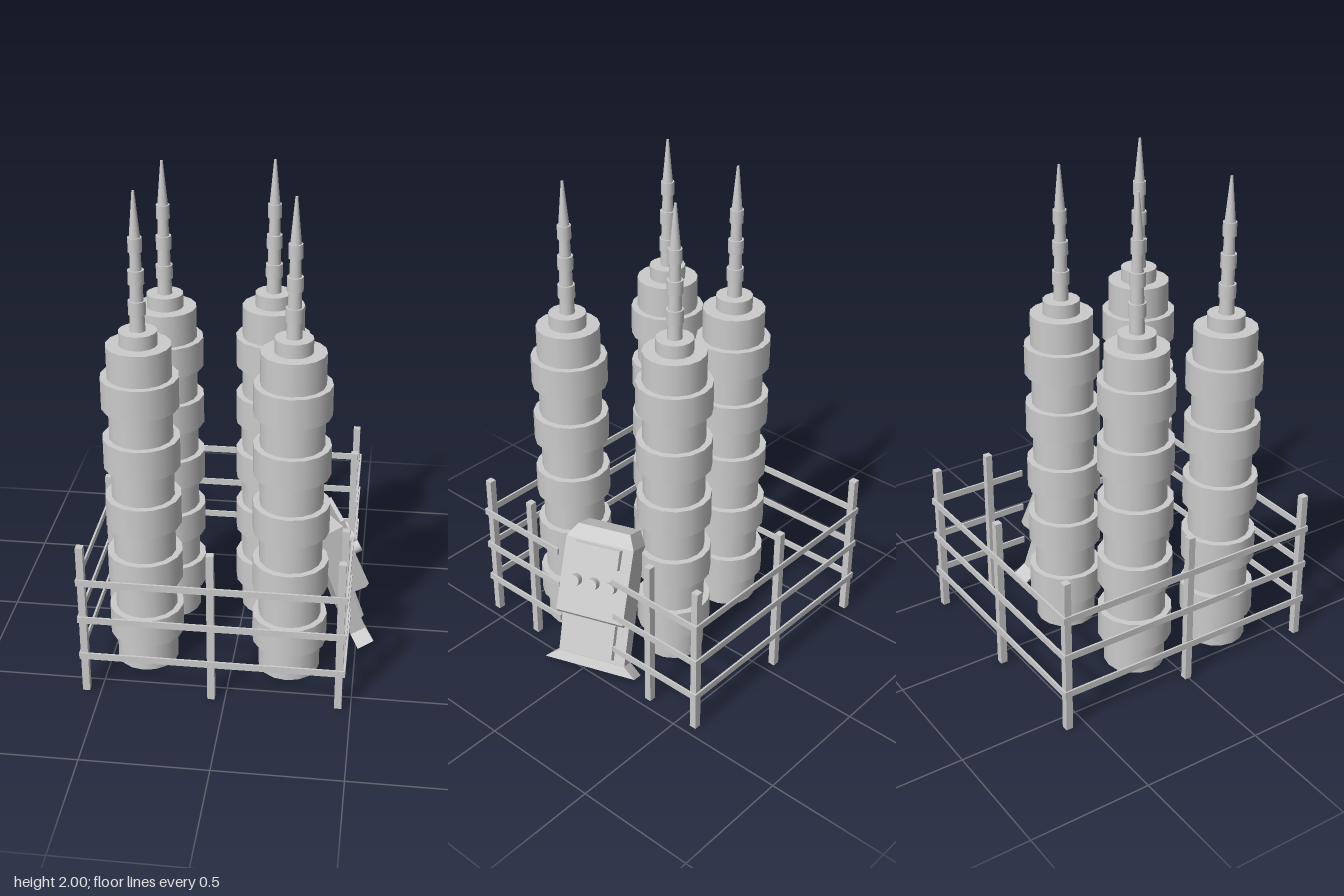
import * as THREE from 'three';
import { ConvexGeometry } from 'three/addons/geometries/ConvexGeometry.js';

const grey = new THREE.MeshStandardMaterial({ color: 0xcccccc });

function add(parent, name, geometry, x = 0, y = 0, z = 0) {
  const mesh = new THREE.Mesh(geometry, grey);
  mesh.name = name;
  mesh.position.set(x, y, z);
  parent.add(mesh);
  return mesh;
}

// Upright cylinder between two heights
function drum(parent, name, rBottom, rTop, y0, y1, sides = 16) {
  return add(parent, name, new THREE.CylinderGeometry(rTop, rBottom, y1 - y0, sides), 0, (y0 + y1) / 2, 0);
}

// Solid between two rectangular sections, each [[x, y], [x, y], halfWidth]
function wedge(parent, name, sections) {
  const points = [];
  for (const [a, b, w] of sections)
    for (const [x, y] of [a, b])
      for (const s of [-1, 1]) points.push(new THREE.Vector3(x, y, s * w));
  return add(parent, name, new ConvexGeometry(points));
}

function createTower(x, z) {
  const tower = new THREE.Group();
  tower.name = 'tower';
  tower.position.set(x, 0, z);
  drum(tower, 'towerBody', 0.126, 0.126, 0, 1.405);
  for (let i = 0; i < 5; i++) {
    const y = 0.13 + i * 0.255;
    drum(tower, 'towerRing', 0.152, 0.152, y, y + 0.125);
  }
  drum(tower, 'towerCap', 0.074, 0.074, 1.405, 1.46);

  // Stepped antenna with collars and a tapering tip
  drum(tower, 'antennaShaft', 0.03, 0.02, 1.46, 1.8);
  [[1.525, 0.034], [1.645, 0.031], [1.77, 0.027]].forEach(([y, r]) => {
    drum(tower, 'antennaCollar', r, r, y, y + 0.055);
  });
  drum(tower, 'antennaTip', 0.021, 0.005, 1.825, 2);
  return tower;
}

function createFence() {
  const fence = new THREE.Group();
  fence.name = 'fence';
  const posts = [
    [-0.56, -0.57], [-0.055, -0.57], [0.45, -0.57], [0.45, -0.33], [0.45, 0.322],
    [0.45, 0.565], [-0.055, 0.565], [-0.56, 0.565], [-0.56, -0.003],
  ];
  for (const [x, z] of posts)
    add(fence, 'fencePost', new THREE.BoxGeometry(0.029, 0.665, 0.029), x, 0.3325, z);

  // Rails run along the outside of the posts, open in front of the console
  const t = 0.008, h = 0.028;
  for (const y of [0.17, 0.34, 0.51]) {
    for (const z of [-0.587, 0.582])
      add(fence, 'fenceRail', new THREE.BoxGeometry(1.055, h, t), -0.0525, y, z);
    add(fence, 'fenceRail', new THREE.BoxGeometry(t, h, 1.173), -0.576, y, -0.0025);
    add(fence, 'fenceRail', new THREE.BoxGeometry(t, h, 0.438), 0.471, y, -0.37);
    add(fence, 'fenceRail', new THREE.BoxGeometry(t, h, 0.433), 0.471, y, 0.368);
  }
  return fence;
}

// Raised panel with bevelled edges, its outer face along local +x
function panel(parent, name, x, y, height, width, tilt) {
  const geometry = new THREE.BoxGeometry(0.03, height, width);
  const p = geometry.attributes.position;
  for (let i = 0; i < p.count; i++)
    if (p.getX(i) > 0) p.setXYZ(i, p.getX(i), p.getY(i) * 0.88, p.getZ(i) * 0.92);
  const flat = geometry.toNonIndexed();
  flat.computeVertexNormals();
  add(parent, name, flat, x, y, 0).rotation.z = tilt;
}

// Leaning control console, faces local +x
function createConsole() {
  const unit = new THREE.Group();
  unit.name = 'console';
  unit.position.set(0.0436, 0, 0.1225);
  unit.rotation.y = 0.342;

  const profile = [
    [0.357, 0.575], [0.478, 0.285], [0.467, 0.268], [0.408, 0.25],
    [0.474, 0.05], [0.41, 0.03], [0.24, 0.525],
  ].map(([x, y]) => new THREE.Vector2(x, y));
  const body = new THREE.ExtrudeGeometry(new THREE.Shape(profile), { depth: 0.296, bevelEnabled: false });
  add(unit, 'consoleBody', body.translate(0, 0, -0.148));

  wedge(unit, 'consoleTop', [
    [[0.24, 0.525], [0.357, 0.575], 0.148],
    [[0.205, 0.57], [0.31, 0.615], 0.114],
  ]);
  wedge(unit, 'consoleFoot', [
    [[0.407, 0.04], [0.472, 0.065], 0.148],
    [[0.424, 0], [0.492, 0.03], 0.202],
  ]);

  panel(unit, 'upperScreen', 0.378, 0.53, 0.09, 0.21, 0.38);
  panel(unit, 'lowerPanel', 0.442, 0.155, 0.165, 0.205, 0.33);
  for (const z of [-0.078, 0, 0.078]) {
    const knob = add(unit, 'knob', new THREE.CylinderGeometry(0.025, 0.025, 0.05, 12), 0.431, 0.422, z);
    knob.rotation.z = 0.38 - Math.PI / 2;
  }
  return unit;
}

export function createModel() {
  const model = new THREE.Group();
  model.name = 'towerCompound';
  for (const [x, z] of [[-0.32, -0.095], [0.11, -0.157], [-0.357, 0.294], [0.23, 0.294]])
    model.add(createTower(x, z));
  model.add(createFence(), createConsole());
  return model;
}
